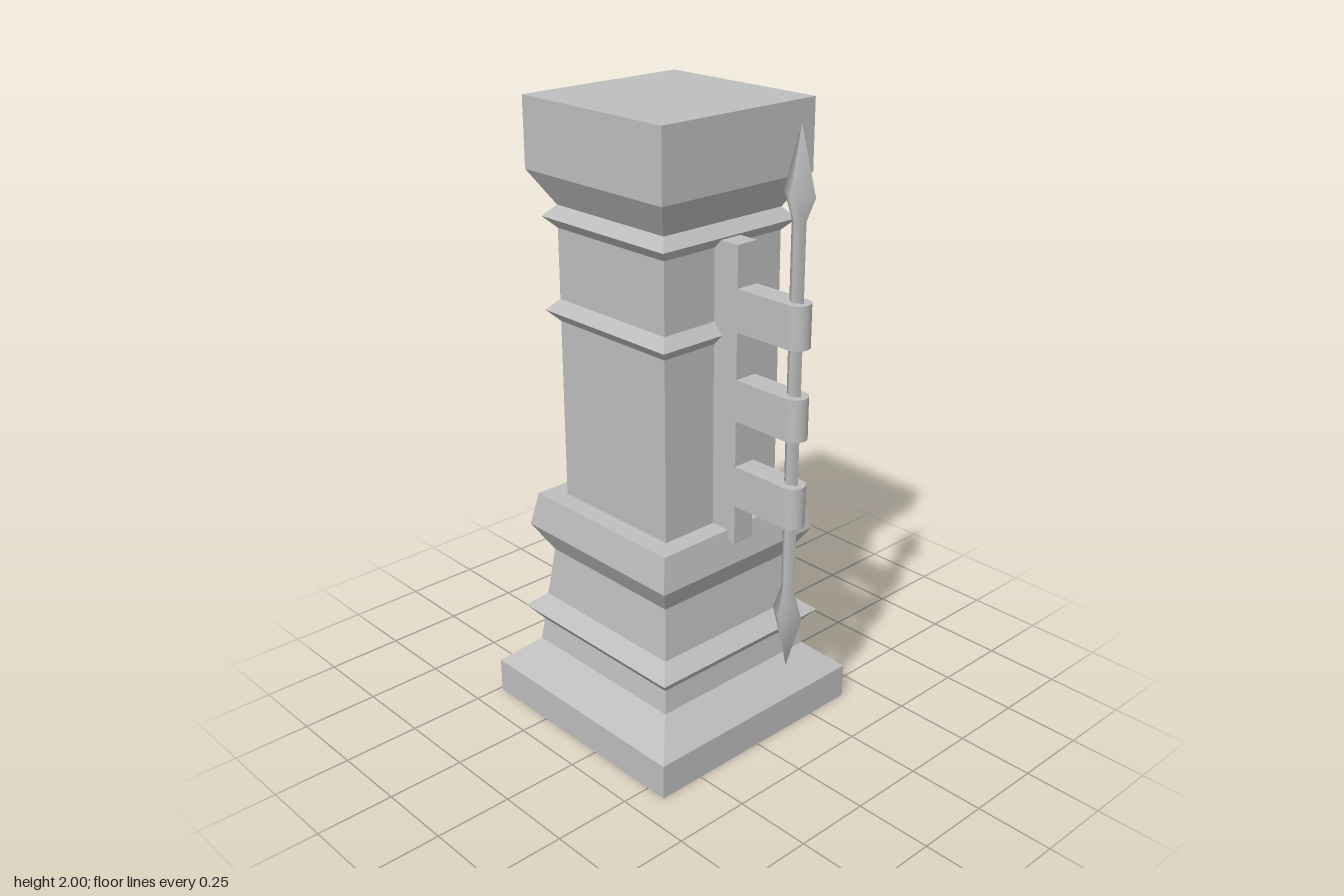
import * as THREE from 'three';

const stone = new THREE.MeshStandardMaterial({ color: 0xbebebe, side: THREE.DoubleSide });
stone.name = 'grey stone';

const PILLAR_Z = -0.085;
const SPEAR_Z = 0.43;
const BRACKET_HALF = 0.038;

function part(parent, name, geometry, x = 0, y = 0, z = 0) {
  const mesh = new THREE.Mesh(geometry, stone);
  mesh.name = name;
  mesh.position.set(x, y, z);
  parent.add(mesh);
  return mesh;
}

// Square moulding: [half width, height] pairs swept round four sides, with hard edges
function squareMoulding(profile) {
  const points = profile.map(([w, y]) => new THREE.Vector2(w * Math.SQRT2, y));
  const geometry = new THREE.LatheGeometry(points, 4, Math.PI / 4).toNonIndexed();
  geometry.computeVertexNormals();
  return geometry;
}

// Arm with a rounded front end, reaching out to the spear
function armGeometry(height) {
  const w = BRACKET_HALF;
  const shape = new THREE.Shape();
  shape.moveTo(w, -0.2);
  shape.lineTo(-w, -0.2);
  shape.lineTo(-w, -0.437);
  shape.absarc(0, -0.437, w, Math.PI, Math.PI * 2, false);
  shape.lineTo(w, -0.2);
  const geometry = new THREE.ExtrudeGeometry(shape, { depth: height, bevelEnabled: false, curveSegments: 16 });
  return geometry.rotateX(-Math.PI / 2);
}

export function createModel() {
  const model = new THREE.Group();
  model.name = 'pillar';

  // Stepped base, open underneath
  part(model, 'base', squareMoulding([
    [0.405, 0], [0.405, 0.115], [0.305, 0.205], [0.295, 0.28], [0.337, 0.33],
    [0.285, 0.375], [0.265, 0.54], [0.318, 0.63], [0.297, 0.74], [0.232, 0.74],
  ]), 0, 0, PILLAR_Z);

  // Shaft with two pointed bands
  part(model, 'shaft', squareMoulding([
    [0.232, 0.74], [0.232, 1.32], [0.265, 1.355], [0.232, 1.39],
    [0.232, 1.61], [0.265, 1.645], [0.232, 1.68],
  ]), 0, 0, PILLAR_Z);

  // Flared capital with a flat top
  part(model, 'capital', squareMoulding([
    [0.232, 1.68], [0.295, 1.785], [0.295, 2], [0, 2],
  ]), 0, 0, PILLAR_Z);

  // Wall bracket: a spine and three arms
  const bracket = new THREE.Group();
  bracket.name = 'bracket';
  model.add(bracket);
  part(bracket, 'bracketSpine', new THREE.BoxGeometry(BRACKET_HALF * 2, 0.935, 0.1), 0, 1.17, 0.19);
  for (const y of [0.83, 1.105, 1.38]) part(bracket, 'bracketArm', armGeometry(0.13), 0, y, 0);

  // Double-ended spear of flattened diamond section
  const spearProfile = [
    [0, 0.345], [0.058, 0.53], [0.027, 0.61], [0.027, 1.74], [0.058, 1.81], [0, 2],
  ].map(([r, y]) => new THREE.Vector2(r, y));
  const spear = part(model, 'spear', new THREE.LatheGeometry(spearProfile, 4), 0, 0, SPEAR_Z);
  spear.scale.x = 0.64;

  return model;
}
